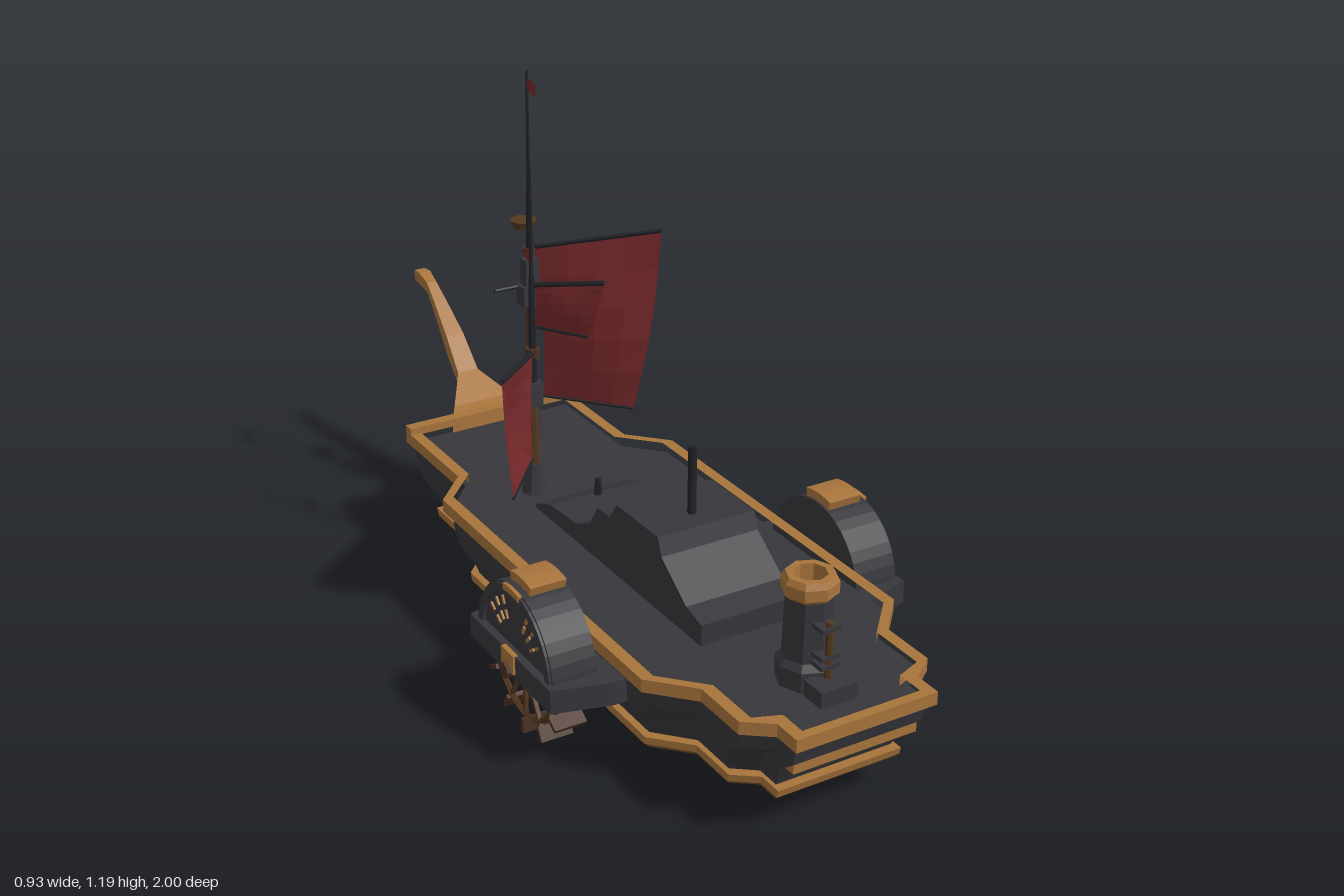
import * as THREE from 'three';

const mat = (color, side = THREE.FrontSide) =>
  new THREE.MeshStandardMaterial({ color, side, flatShading: true, roughness: 0.9 });
const IRON = mat(0x37373c), GOLD = mat(0xa8743c), WOOD = mat(0x54381f), BROWN = mat(0x4a3024),
  BLACK = mat(0x202326), RED = mat(0x7a2a2c, THREE.DoubleSide), KEEL = mat(0x7a5026);

function add(parent, name, geo, material, x = 0, y = 0, z = 0) {
  const m = new THREE.Mesh(geo, material);
  m.name = name;
  m.position.set(x, y, z);
  parent.add(m);
  return m;
}
const box = (w, h, d) => new THREE.BoxGeometry(w, h, d);
const cyl = (rt, rb, h, n = 8) => new THREE.CylinderGeometry(rt, rb, h, n);
const shapeOf = pts => new THREE.Shape(pts.map(p => new THREE.Vector2(p[0], p[1])));

// round bar between two points
function bar(parent, name, a, b, r, material) {
  const A = new THREE.Vector3(...a), B = new THREE.Vector3(...b), d = B.clone().sub(A);
  const m = add(parent, name, cyl(r, r, d.length(), 6), material);
  m.position.copy(A).add(B).multiplyScalar(0.5);
  m.quaternion.setFromUnitVectors(new THREE.Vector3(0, 1, 0), d.normalize());
}

// side profile in (z, y), extruded along x from x0 to x1
function sideExtrude(shape, x0, x1) {
  const g = new THREE.ExtrudeGeometry(shape, { depth: x1 - x0, bevelEnabled: false, curveSegments: 10 });
  return g.rotateY(Math.PI / 2).translate(x0, 0, 0);
}
// plan outline in (x, z), extruded from y0 to y1
function planExtrude(shape, y0, y1) {
  const g = new THREE.ExtrudeGeometry(shape, { depth: y1 - y0, bevelEnabled: false });
  return g.rotateX(Math.PI / 2).translate(0, y1, 0);
}

// skin over rings of equal point count, capped at both ends
function loft(rings) {
  const n = rings[0].length, pos = rings.flat(2), idx = [];
  for (let k = 0; k < rings.length - 1; k++)
    for (let i = 0; i < n; i++) {
      const a = k * n + i, b = k * n + (i + 1) % n;
      idx.push(a, b, b + n, a, b + n, a + n);
    }
  const top = (rings.length - 1) * n;
  for (let i = 0; i < n / 2 - 1; i++) {
    const a = i, b = n - 1 - i, c = b - 1, d = i + 1;
    idx.push(a, b, c, a, c, d, top + a, top + c, top + b, top + a, top + d, top + c);
  }
  const g = new THREE.BufferGeometry();
  g.setAttribute('position', new THREE.Float32BufferAttribute(pos, 3));
  g.setIndex(idx);
  const flat = g.toNonIndexed();
  flat.computeVertexNormals();
  return flat;
}

// ship plan, one half from stern to bow
const HALF = [[0.17, 0.995], [0.17, 0.93], [0.23, 0.885], [0.23, 0.75], [0.315, 0.66],
  [0.315, -0.24], [0.23, -0.33], [0.23, -0.62]];
const both = pts => [...pts, ...pts.slice().reverse().map(([x, z]) => [-x, z])];
const level = (y, s, zf, zb) => both(HALF).map(([x, z]) =>
  [x * s, y, zb + (z + 0.62) / 1.615 * (zf - zb)]);

function buildHull(g) {
  add(g, 'hull', loft([level(0.1, 0.83, 0.89, -0.48), level(0.125, 0.85, 0.9, -0.5),
    level(0.165, 0.91, 0.92, -0.57), level(0.2, 0.92, 0.965, -0.6), level(0.255, 0.94, 0.98, -0.605)]), IRON);
  add(g, 'keelPlate', loft([level(0.08, 0.86, 0.9, -0.47), level(0.09, 0.88, 0.905, -0.49)]), KEEL);
  add(g, 'keelTrim', loft([level(0.09, 0.89, 0.91, -0.5), level(0.108, 0.89, 0.915, -0.51)]), GOLD);
  add(g, 'sternTrim', box(0.3, 0.026, 0.05), GOLD, 0, 0.187, 0.935);
  const rail = shapeOf(both(HALF));
  rail.holes.push(new THREE.Path(both(HALF.map(([x, z]) =>
    [x - 0.028, z > 0.9 ? z - 0.022 : z < -0.5 ? z + 0.028 : z])).map(p => new THREE.Vector2(...p))));
  add(g, 'rail', planExtrude(rail, 0.25, 0.28), GOLD);
  add(g, 'bowRail', box(0.46, 0.02, 0.028), GOLD, 0, 0.286, -0.606);
  // bowsprit: z, bottom, top, half width
  const spar = [[-0.6, 0.25, 0.29, 0.11], [-0.65, 0.265, 0.3, 0.08], [-0.73, 0.315, 0.35, 0.028],
    [-0.8, 0.375, 0.425, 0.024], [-0.88, 0.455, 0.49, 0.017], [-0.93, 0.5, 0.527, 0.013],
    [-0.97, 0.51, 0.542, 0.016], [-1, 0.515, 0.54, 0.015]];
  add(g, 'bowsprit', loft(spar.map(([z, b, t, w]) => [[w, t, z], [w, b, z], [-w, b, z], [-w, t, z]])), GOLD);
}

function buildDeckhouse(g) {
  const profile = [[0.58, 0.25], [0.58, 0.305], [0.52, 0.32], [0.42, 0.39], [0.405, 0.43], [0.235, 0.43],
    [0.2, 0.385], [0.15, 0.385], [0.115, 0.33], [0.05, 0.3], [-0.07, 0.293], [-0.14, 0.265], [-0.14, 0.25]];
  add(g, 'deckhouse', sideExtrude(shapeOf(profile.map(([z, y]) => [-z, y])), -0.122, 0.122), IRON);
  add(g, 'exhaustPipe', cyl(0.01, 0.01, 0.17), BLACK, 0, 0.505, 0.345);
  add(g, 'deckPost', cyl(0.007, 0.01, 0.05, 6), BLACK, 0, 0.31, -0.06);
}

function buildFunnel(g) {
  const f = new THREE.Group();
  f.name = 'funnel';
  f.position.set(0, 0, 0.785);
  g.add(f);
  const lathe = pts => new THREE.LatheGeometry(pts.map(p => new THREE.Vector2(...p)), 8);
  add(f, 'funnelBody', lathe([[0.066, 0.25], [0.066, 0.3], [0.054, 0.315], [0.05, 0.46]]), IRON);
  add(f, 'funnelCap', lathe([[0.05, 0.45], [0.06, 0.46], [0.06, 0.485], [0.052, 0.498], [0.036, 0.498], [0.034, 0.44]]), GOLD);
  add(f, 'funnelInside', cyl(0.036, 0.036, 0.005), BLACK, 0, 0.45, 0);
  add(f, 'funnelStep', box(0.09, 0.04, 0.06), IRON, 0, 0.272, 0.085);
  add(f, 'steamPipe', cyl(0.008, 0.008, 0.13, 6), WOOD, 0, 0.355, 0.072);
  for (const y of [0.32, 0.34, 0.405]) add(f, 'pipeBracket', box(0.045, 0.01, 0.04), IRON, 0, y, 0.06);
}

// half ring in (z, y) between two angles
function arc(r0, r1, a0, a1) {
  const s = new THREE.Shape();
  s.absarc(0, 0, r1, a0, a1, false);
  if (r0) s.absarc(0, 0, r0, a1, a0, true);
  return s;
}

function buildPaddle(g, turn) {
  const p = new THREE.Group();
  p.name = 'paddleAssembly';
  p.position.z = 0.345;
  p.rotation.y = turn;
  g.add(p);
  const cy = 0.205;
  // housing: curved roof, side plates and a sponson frame
  const put = (name, shape, x0, x1, m) => add(p, name, sideExtrude(shape, x0, x1), m, 0, cy, 0);
  put('wheelArch', arc(0.145, 0.165, 0, Math.PI), 0.33, 0.435, IRON);
  put('outerPlate', arc(0, 0.15, 0, Math.PI), 0.428, 0.432, IRON);
  put('innerPlate', arc(0, 0.15, 0, Math.PI), 0.33, 0.335, IRON);
  put('archRim', arc(0.14, 0.16, 0, Math.PI), 0.43, 0.441, IRON);
  put('archCap', arc(0.15, 0.185, Math.PI * 0.42, Math.PI * 0.58), 0.335, 0.42, GOLD);
  put('crest', arc(0.15, 0.165, Math.PI * 0.43, Math.PI * 0.57), 0.435, 0.444, GOLD);
  const ledge = shapeOf([[0.27, -0.215], [0.32, -0.215], [0.45, -0.18], [0.45, 0.18], [0.32, 0.215], [0.27, 0.215]]);
  ledge.holes.push(new THREE.Path([[0.338, -0.145], [0.428, -0.145], [0.428, 0.145], [0.338, 0.145]]
    .map(q => new THREE.Vector2(...q))));
  add(p, 'sponson', planExtrude(ledge, 0.165, 0.22), IRON);
  add(p, 'hubPlate', box(0.012, 0.045, 0.055), GOLD, 0.449, 0.2, 0);
  // fan of small inlays on the outer plate
  for (const s of [-1, 1]) for (const deg of [35, 50, 65]) for (const r of [0.09, 0.122]) {
    const a = deg * Math.PI / 180;
    const m = add(p, 'fanInlay', box(0.006, 0.02, 0.007), GOLD, 0.433, cy + r * Math.sin(a), s * r * Math.cos(a));
    m.rotation.x = s * (Math.PI / 2 - a);
  }
  // paddle wheel
  const w = new THREE.Group();
  w.name = 'paddleWheel';
  w.position.set(0.384, 0.178, 0);
  p.add(w);
  add(w, 'axle', cyl(0.018, 0.018, 0.2).rotateZ(Math.PI / 2), BROWN, -0.02);
  for (const x of [-0.028, 0.028])
    add(w, 'wheelRim', new THREE.TorusGeometry(0.125, 0.007, 4, 24).rotateY(Math.PI / 2), WOOD, x);
  for (let i = 0; i < 12; i++) {
    const s = new THREE.Group();
    s.name = 'spoke';
    s.rotation.x = i * Math.PI / 6;
    w.add(s);
    for (const x of [-0.028, 0.028]) add(s, 'spokeBar', box(0.009, 0.145, 0.008), WOOD, x, 0.075, 0);
    add(s, 'paddleBlade', box(0.076, 0.035, 0.01), BROWN, 0, 0.152, 0);
  }
}

// four-cornered sail with a slight belly, plus its yard and foot bar
function sail(g, topIn, topOut, lowIn, lowOut, belly) {
  const geo = new THREE.PlaneGeometry(1, 1, 4, 5), pos = geo.attributes.position;
  const V = a => new THREE.Vector3(...a), a = V(topIn), b = V(topOut), c = V(lowIn), d = V(lowOut);
  const across = b.clone().sub(a).setY(0).normalize();
  const out = new THREE.Vector3(-across.z, 0, across.x);
  for (let i = 0; i < pos.count; i++) {
    const u = pos.getX(i) + 0.5, v = 0.5 - pos.getY(i);
    const q = a.clone().lerp(b, u).lerp(c.clone().lerp(d, u), v), k = Math.sin(Math.PI * v);
    q.addScaledVector(out, belly * k * Math.sin(Math.PI * u)).addScaledVector(across, Math.abs(belly) * 0.5 * k);
    pos.setXYZ(i, q.x, q.y, q.z);
  }
  geo.computeVertexNormals();
  add(g, 'sail', geo, RED);
  bar(g, 'yard', topIn, topOut, 0.006, BLACK);
  bar(g, 'footBar', lowIn, lowOut, 0.004, BLACK);
}

function flag(g, pts, tris) {
  const geo = new THREE.BufferGeometry();
  geo.setAttribute('position', new THREE.Float32BufferAttribute(pts.flat(), 3));
  geo.setIndex(tris);
  geo.computeVertexNormals();
  add(g, 'flag', geo, RED);
}

// stepped mast: base foot, wooden lower mast, iron upper mast, thin top
function mast(g, x, z, mid, high, top) {
  const m = new THREE.Group();
  m.name = 'mast';
  m.position.set(x, 0, z);
  g.add(m);
  const part = (name, r0, r1, y0, y1, mt) => add(m, name, cyl(r1, r0, y1 - y0), mt, 0, (y0 + y1) / 2, 0);
  part('mastFoot', 0.032, 0.018, 0.25, 0.33, IRON);
  part('lowerMast', 0.014, 0.012, 0.3, mid, WOOD);
  part('upperMast', 0.011, 0.007, mid, high, BLACK);
  part('topMast', 0.005, 0.003, high, top, BLACK);
  return m;
}

function buildRig(g) {
  const fore = mast(g, 0.062, -0.498, 0.62, 0.9, 1.195);
  add(fore, 'mastHousing', box(0.038, 0.11, 0.03), IRON, 0, 0.67, 0);
  add(fore, 'housingBlock', box(0.055, 0.05, 0.04), IRON, 0, 0.632, 0);
  bar(fore, 'crossBar', [-0.09, 0.652, -0.015], [0.09, 0.652, -0.015], 0.005, BLACK);
  add(fore, 'lookout', cyl(0.034, 0.026, 0.02), WOOD, 0, 0.805, -0.03);
  add(fore, 'mastRing', cyl(0.017, 0.017, 0.015), BROWN, 0, 0.745, 0);
  sail(g, [0.072, 0.755, -0.49], [0.295, 0.825, -0.27], [0.085, 0.36, -0.48], [0.245, 0.356, -0.31], 0.025);
  flag(g, [[0.062, 1.18, -0.5], [0.062, 1.147, -0.5], [0.048, 1.145, -0.43], [0.048, 1.178, -0.43]], [0, 1, 2, 0, 2, 3]);

  const main = mast(g, -0.083, -0.218, 0.5, 0.8, 1.065);
  add(main, 'mastHousing', box(0.035, 0.06, 0.035), IRON, 0, 0.51, 0);
  add(main, 'mastRing', cyl(0.018, 0.018, 0.02), BROWN, 0, 0.615, 0);
  sail(g, [-0.088, 0.615, -0.21], [-0.293, 0.683, 0.033], [-0.092, 0.343, -0.21], [-0.225, 0.343, -0.055], 0.025);
  sail(g, [-0.08, 0.783, -0.21], [0.015, 0.82, -0.058], [-0.08, 0.68, -0.21], [-0.005, 0.68, -0.095], 0.01);
  flag(g, [[-0.083, 0.875, -0.212], [-0.083, 0.82, -0.212], [-0.063, 0.83, -0.3]], [0, 1, 2]);
}

export function createModel() {
  const g = new THREE.Group();
  g.name = 'paddleSteamer';
  buildHull(g);
  buildDeckhouse(g);
  buildFunnel(g);
  for (const turn of [0, Math.PI]) buildPaddle(g, turn);
  buildRig(g);
  add(g, 'floatingBead', new THREE.IcosahedronGeometry(0.006, 0), IRON, 0.265, 0.28, -0.845);
  return g;
}
